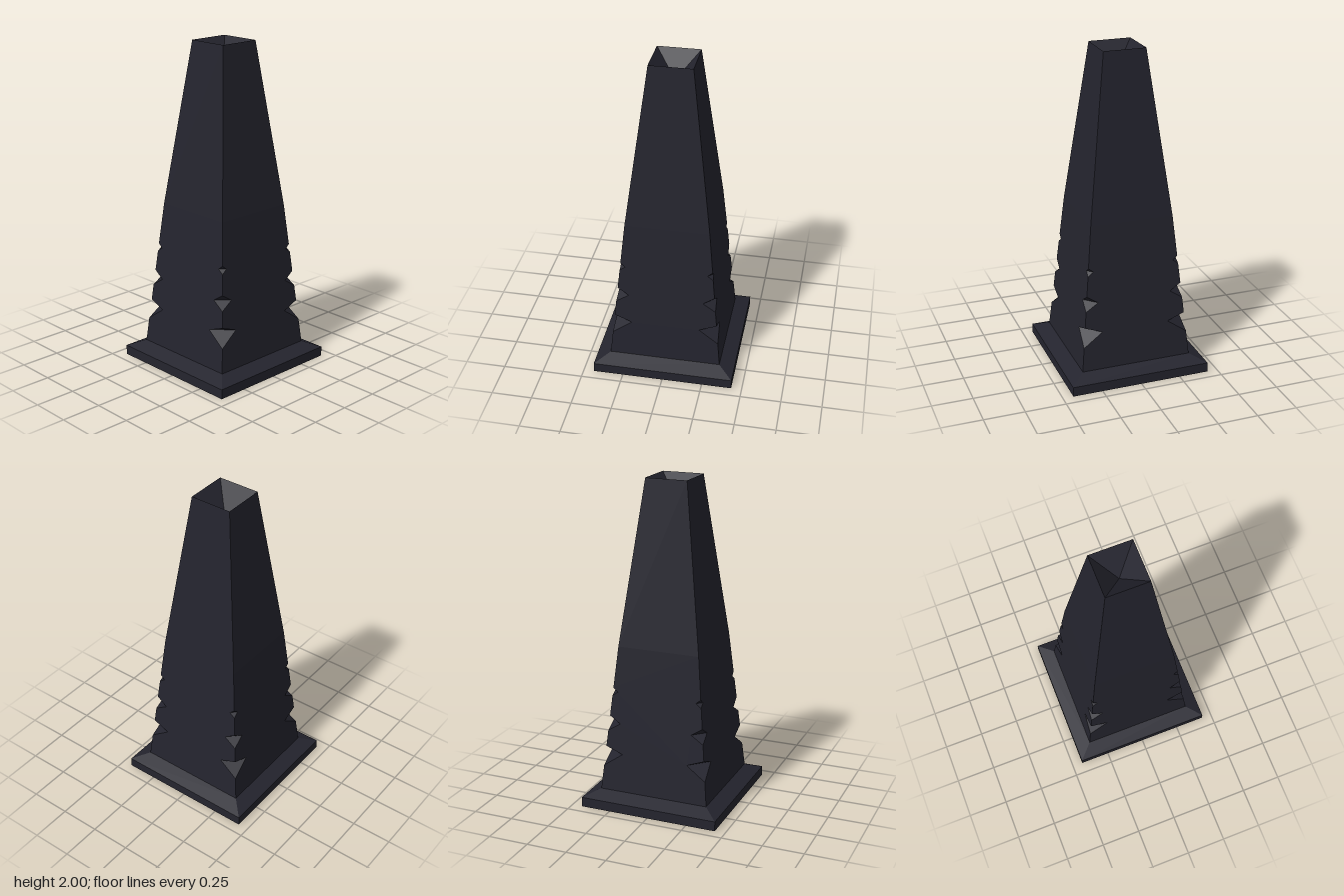
import * as THREE from 'three';

const stone = new THREE.MeshStandardMaterial({ color: 0x24242e, flatShading: true, side: THREE.DoubleSide });
stone.name = 'darkStone';

const BOTTOM = 0.1, KINK = 1, TOP = 2;
// half width of the lower shaft at height y
const half = (y) => 0.345 + (0.257 - 0.345) * (y - BOTTOM) / (KINK - BOTTOM);

// corner notches: bottom and top on the corner edge, inner point on the face
const notches = [
  { bottom: 0.25, mid: 0.335, top: 0.375, inner: 0.21 },
  { bottom: 0.475, mid: 0.525, top: 0.57, inner: 0.23 },
  { bottom: 0.695, mid: 0.72, top: 0.745, inner: 0.252 },
];

function addMesh(parent, name, geometry) {
  const mesh = new THREE.Mesh(geometry, stone);
  mesh.name = name;
  parent.add(mesh);
  return mesh;
}

// square frustum between two heights, given half widths
function frustum(y0, h0, y1, h1, open) {
  const g = new THREE.CylinderGeometry(h1 * Math.SQRT2, h0 * Math.SQRT2, y1 - y0, 4, 1, open, Math.PI / 4);
  return g.translate(0, (y0 + y1) / 2, 0);
}

// one face of the lower shaft, with notched left and right edges
function panelGeometry() {
  const edge = [[half(BOTTOM), BOTTOM]];
  for (const n of notches) edge.push([half(n.bottom), n.bottom], [n.inner, n.mid], [half(n.top), n.top]);
  edge.push([half(KINK), KINK]);
  const left = edge.map(([x, y]) => [-x, y]).reverse();
  const shape = new THREE.Shape([...edge, ...left].map(([x, y]) => new THREE.Vector2(x, y)));
  const g = new THREE.ShapeGeometry(shape);
  const p = g.attributes.position;
  for (let i = 0; i < p.count; i++) p.setZ(i, half(p.getY(i)));
  g.computeVertexNormals();
  return g;
}

// upper and lower cut faces of one notch at the +x +z corner
function notchGeometry({ bottom, mid, top, inner }) {
  const b = half(bottom), m = half(mid), t = half(top);
  const B = [b, bottom, b], T = [t, top, t], P = [inner, mid, m], Q = [m, mid, inner];
  const g = new THREE.BufferGeometry();
  g.setAttribute('position', new THREE.Float32BufferAttribute([B, Q, P, T, P, Q].flat(), 3));
  g.computeVertexNormals();
  return g;
}

export function createModel() {
  const model = new THREE.Group();
  model.name = 'obelisk';

  // plinth
  addMesh(model, 'plinth', new THREE.BoxGeometry(0.87, 0.06, 0.87).translate(0, 0.03, 0));
  addMesh(model, 'plinthBevel', frustum(0.06, 0.435, BOTTOM, 0.345, true));

  // lower shaft: four notched faces with their corners
  const panel = panelGeometry();
  const cuts = notches.map(notchGeometry);
  for (let i = 0; i < 4; i++) {
    const side = new THREE.Group();
    side.name = 'lowerShaftSide';
    side.rotation.y = i * Math.PI / 2;
    addMesh(side, 'notchedFace', panel);
    cuts.forEach((g) => addMesh(side, 'cornerNotch', g));
    model.add(side);
  }

  // upper shaft and the inverted pyramid sunk into its top
  addMesh(model, 'upperShaft', frustum(KINK, half(KINK), TOP, 0.13, true));
  addMesh(model, 'topHollow', frustum(TOP - 0.14, 0, TOP, 0.13, true));

  return model;
}
